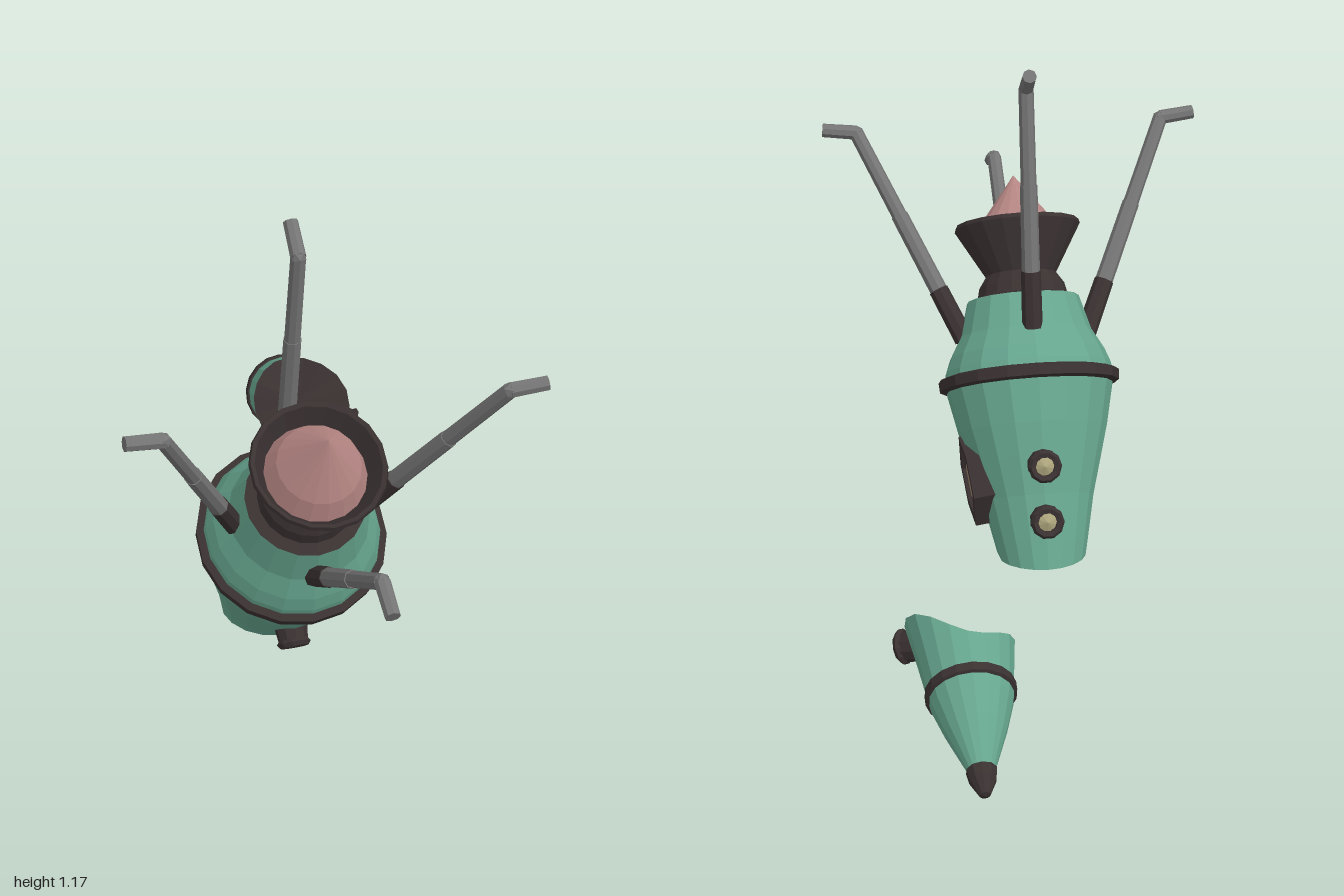
import * as THREE from 'three';

const paint = (color) => new THREE.MeshStandardMaterial({ color, flatShading: true, side: THREE.DoubleSide });
const GREEN = paint(0x66a58e), DARK = paint(0x3a3131), GREY = paint(0x747474);
const PINK = paint(0xb58683), TAN = paint(0x9c8468), GLASS = paint(0xaaa27a);
const SIDES = 18;

function add(parent, name, geometry, material) {
  const mesh = new THREE.Mesh(geometry, material);
  mesh.name = name;
  parent.add(mesh);
  return mesh;
}

const lathe = (points, sides = SIDES) =>
  new THREE.LatheGeometry(points.map(([r, y]) => new THREE.Vector2(r, y)), sides);

// Radius of a [radius, height] profile at height y
function radiusAt(profile, y) {
  for (let i = 1; i < profile.length; i++) {
    const [r0, y0] = profile[i - 1], [r1, y1] = profile[i];
    if (y <= y1) return r0 + (r1 - r0) * (y - y0) / (y1 - y0);
  }
  return profile[profile.length - 1][0];
}

// Turned hull whose lower end is snapped off along cut(angle), with a dark break face
function brokenHull(parent, name, profile, cut, middle) {
  const hull = lathe(profile);
  const cap = lathe([[0, middle], [1, middle]]);
  const trim = (geometry, isCap) => {
    const p = geometry.attributes.position;
    for (let i = 0; i < p.count; i++) {
      const x = p.getX(i), z = p.getZ(i), y = p.getY(i);
      if (Math.hypot(x, z) < 1e-6) continue;
      const a = Math.atan2(x, z);
      const h = isCap ? cut(a) : Math.max(y, cut(a));
      const r = radiusAt(profile, h);
      p.setXYZ(i, r * Math.sin(a), h, r * Math.cos(a));
    }
    geometry.computeVertexNormals();
  };
  trim(hull, false);
  trim(cap, true);
  add(parent, name, hull, GREEN);
  add(parent, name + 'BreakFace', cap, DARK);
}

// Group lying on the hull at an angle round it, its z axis pointing outward
function mount(parent, name, angle, r, y, tilt) {
  const g = new THREE.Group();
  g.name = name;
  g.position.set(r * Math.sin(angle), y, r * Math.cos(angle));
  g.rotation.set(tilt, angle, 0, 'YXZ');
  parent.add(g);
  return g;
}

function porthole(parent, angle, r, y) {
  const g = mount(parent, 'porthole', angle, r, y, 0.25);
  add(g, 'portholeFrame', new THREE.CylinderGeometry(0.034, 0.04, 0.05, 10, 1, true).rotateX(Math.PI / 2), DARK);
  add(g, 'portholeRim', new THREE.TorusGeometry(0.031, 0.01, 5, 10), DARK).position.z = 0.022;
  add(g, 'portholeGlass', new THREE.ConeGeometry(0.031, 0.016, 10).rotateX(Math.PI / 2), GLASS).position.z = 0.02;
}

// Cylinder between two points
function rod(parent, name, a, b, r0, r1, material) {
  const dir = b.clone().sub(a);
  const mesh = add(parent, name, new THREE.CylinderGeometry(r1, r0, dir.length(), 8), material);
  mesh.position.copy(a).addScaledVector(dir, 0.5);
  mesh.quaternion.setFromUnitVectors(new THREE.Vector3(0, 1, 0), dir.normalize());
}

function hexShape(k) {
  const s = new THREE.Shape();
  [[0, 0.11], [-0.078, 0.05], [-0.078, -0.05], [0, -0.11], [0.078, -0.05], [0.078, 0.05]]
    .forEach(([x, y], i) => (i ? s.lineTo(x * k, y * k) : s.moveTo(x * k, y * k)));
  s.closePath();
  return s;
}

function buildBody() {
  const body = new THREE.Group();
  body.name = 'body';
  const profile = [[0.092, -0.49], [0.112, -0.4], [0.135, -0.29], [0.16, -0.2], [0.182, -0.12], [0.208, 0],
    [0.203, 0.03], [0.19, 0.065], [0.162, 0.115], [0.138, 0.2]];
  // the break rises toward the front
  const cut = (a) => Math.cos(a) > 0 ? -0.43 + 0.115 * Math.cos(a) : -0.43 + 0.04 * Math.cos(a);
  brokenHull(body, 'hull', profile, cut, -0.43);
  add(body, 'hullTop', lathe([[0.138, 0.2], [0.105, 0.21], [0, 0.21]]), DARK);
  add(body, 'collarRing', lathe([[0.2, -0.02], [0.22, -0.014], [0.222, 0.01], [0.2, 0.018]]), DARK);

  // Engine nozzle and its cone
  add(body, 'nozzle', lathe([[0.115, 0.19], [0.105, 0.235], [0.087, 0.262], [0.155, 0.38], [0.152, 0.39], [0.142, 0.386],
    [0.11, 0.33]]), DARK);
  add(body, 'nozzleCone', lathe([[0.118, 0.335], [0.095, 0.388], [0, 0.512]]), PINK);

  // Four splayed legs with bent feet
  for (let i = 0; i < 4; i++) {
    const leg = new THREE.Group();
    leg.name = 'leg';
    leg.rotation.y = i * Math.PI / 2;
    body.add(leg);
    const hip = new THREE.Vector3(0, 0.11, 0.15), knee = new THREE.Vector3(0, 0.64, 0.38);
    const at = (k) => hip.clone().lerp(knee, k);
    rod(leg, 'legSocket', at(0), at(0.24), 0.025, 0.024, DARK);
    rod(leg, 'lowerLeg', at(0.23), at(0.6), 0.022, 0.021, GREY);
    rod(leg, 'upperLeg', at(0.59), at(1), 0.019, 0.018, GREY);
    add(leg, 'knee', new THREE.IcosahedronGeometry(0.019, 0), GREY).position.copy(knee);
    rod(leg, 'foot', knee, new THREE.Vector3(0, 0.65, 0.462), 0.018, 0.017, GREY);
  }

  porthole(body, 0, 0.163, -0.22);
  porthole(body, Math.PI, 0.163, -0.225);
  porthole(body, Math.PI, 0.13, -0.355);

  // Large hexagonal side window
  const win = mount(body, 'sideWindow', Math.PI / 2, 0.115, -0.23, 0.12);
  const frame = hexShape(1);
  frame.holes.push(hexShape(0.72));
  add(win, 'windowFrame', new THREE.ExtrudeGeometry(frame, { depth: 0.055, bevelEnabled: false }), DARK);
  add(win, 'windowPane', new THREE.ExtrudeGeometry(hexShape(0.6),
    { depth: 0.035, bevelThickness: 0.012, bevelSize: 0.013, bevelSegments: 1 }), TAN);
  return body;
}

function buildNose() {
  const nose = new THREE.Group();
  nose.name = 'noseSection';
  const profile = [[0.13, -0.25], [0.122, -0.19], [0.108, -0.1], [0.094, 0], [0.09, 0.03], [0.068, 0.1], [0.03, 0.2]];
  const cut = (a) => -0.165 + 0.065 * Math.cos(a) - 0.04 * Math.sin(a) + 0.012 * Math.cos(3 * a);
  brokenHull(nose, 'noseHull', profile, cut, -0.165);
  add(nose, 'noseBand', lathe([[0.09, -0.014], [0.1, -0.01], [0.1, 0.01], [0.088, 0.014]]), DARK);
  add(nose, 'noseTip', lathe([[0, 0.19], [0.034, 0.2], [0.03, 0.225], [0.012, 0.262], [0, 0.265]], 10), DARK);
  porthole(nose, 2.07, 0.122, -0.185);
  return nose;
}

export function createModel() {
  const model = new THREE.Group();
  model.name = 'crashedRocket';
  const body = buildBody();
  body.position.set(0, 0.38, 0.247);
  body.rotation.x = 0.59;
  const nose = buildNose();
  nose.position.set(0.262, 0.14, -0.75);
  nose.rotation.x = -1.934;
  model.add(body, nose);
  return model;
}
